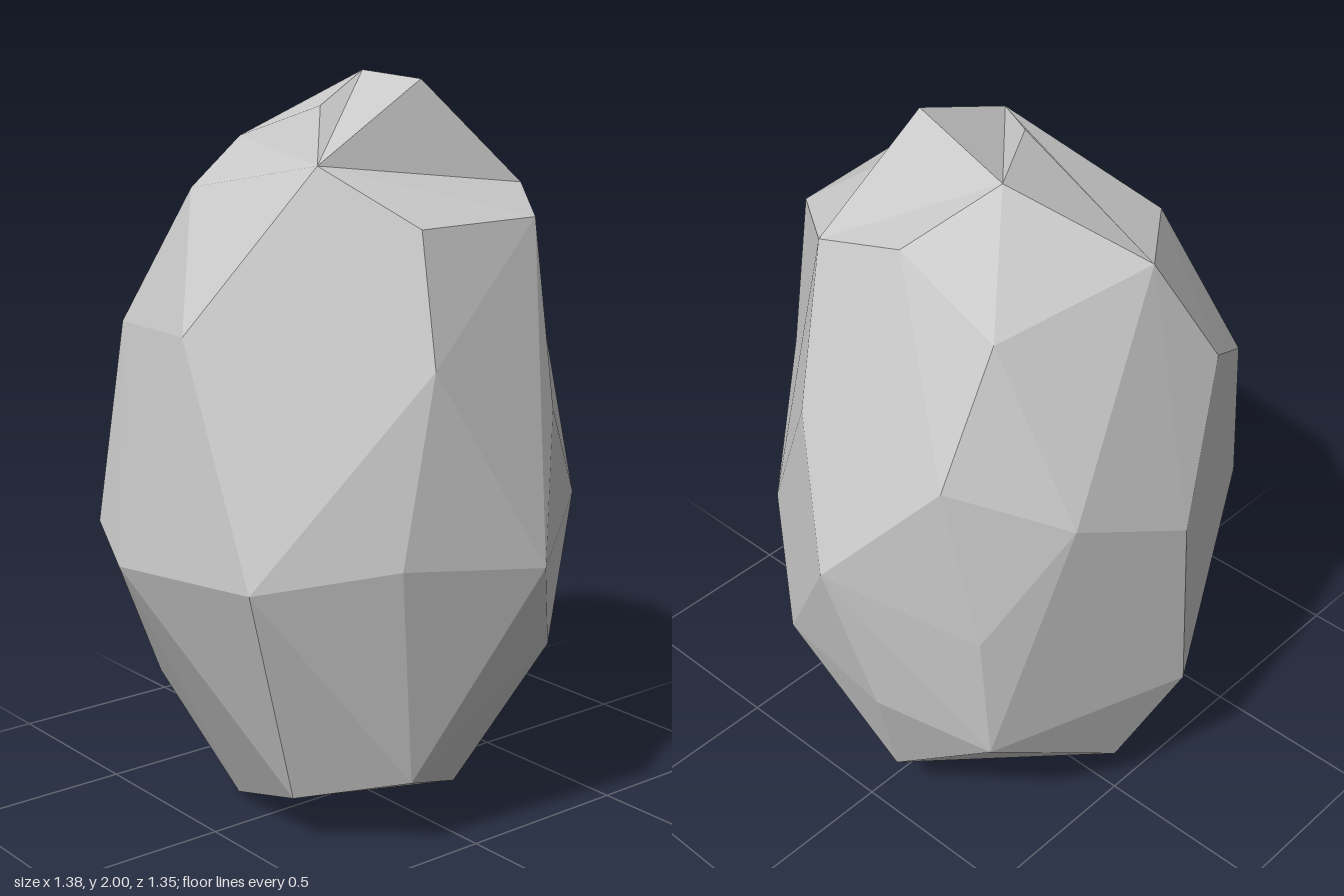
import * as THREE from 'three';
import { ConvexGeometry } from 'three/addons/geometries/ConvexGeometry.js';

// Corners of the stone in rough bands, from the crown down to the foot
const crown = [
  [0.07, 2, 0.17], [0.2, 2, -0.23], [-0.12, 1.93, -0.01], [0.39, 1.84, -0.075],
  [0.19, 1.665, 0.48], [-0.22, 1.67, 0.515], [0.38, 1.7, -0.37],
  [-0.01, 1.81, -0.525], [-0.35, 1.71, -0.275],
];
const shoulder = [
  [-0.61, 1.385, 0.055], [-0.25, 1.34, 0.605], [0.19, 1.18, 0.56], [0.56, 1.36, 0.12],
  [0.55, 1.345, -0.355], [0.32, 1.22, -0.59], [-0.18, 1.5, -0.61], [-0.44, 1.33, -0.49],
];
const waist = [
  [-0.61, 0.775, 0.325], [-0.69, 0.755, -0.145], [-0.32, 0.84, 0.57], [0.07, 0.8, 0.67],
  [0.45, 0.875, 0.38], [0.69, 1, -0.06], [0.5, 0.865, -0.435], [-0.015, 1.07, -0.675],
  [-0.58, 0.8, -0.415],
];
const foot = [
  [0.58, 0.59, 0.2], [0.59, 0.53, -0.14], [0.29, 0.49, 0.46], [0.46, 0.45, -0.435],
  [-0.08, 0.49, -0.655], [-0.27, 0.47, -0.54], [-0.48, 0.38, -0.28],
  [0.47, 0.16, -0.08], [0.14, 0.06, 0.25], [-0.19, 0.21, 0.455], [-0.4, 0.145, 0.22],
  [-0.32, 0.02, -0.14], [0.09, 0, -0.09], [0.02, 0.16, -0.51],
];

// The hollow chip at the top front: corners lifted for the hull, then pressed in
const chip = [
  { lifted: [-0.36, 1.92, 0.33], pressed: [-0.34, 1.81, 0.26] },
  { lifted: [0.38, 1.82, 0.3], pressed: [0.36, 1.72, 0.245] },
];

function stoneGeometry() {
  const corners = [...crown, ...shoulder, ...waist, ...foot, ...chip.map((c) => c.lifted)];
  const geometry = new ConvexGeometry(corners.map((p) => new THREE.Vector3(...p)));
  const position = geometry.attributes.position;
  const v = new THREE.Vector3();
  for (let i = 0; i < position.count; i++) {
    v.fromBufferAttribute(position, i);
    for (const { lifted, pressed } of chip) {
      if (v.distanceTo(new THREE.Vector3(...lifted)) < 1e-4) position.setXYZ(i, ...pressed);
    }
  }
  geometry.computeVertexNormals();
  return geometry;
}

export function createModel() {
  const group = new THREE.Group();
  group.name = 'rock';
  const material = new THREE.MeshStandardMaterial({ color: 0xcccccc, flatShading: true });
  const stone = new THREE.Mesh(stoneGeometry(), material);
  stone.name = 'stone';
  group.add(stone);
  return group;
}
